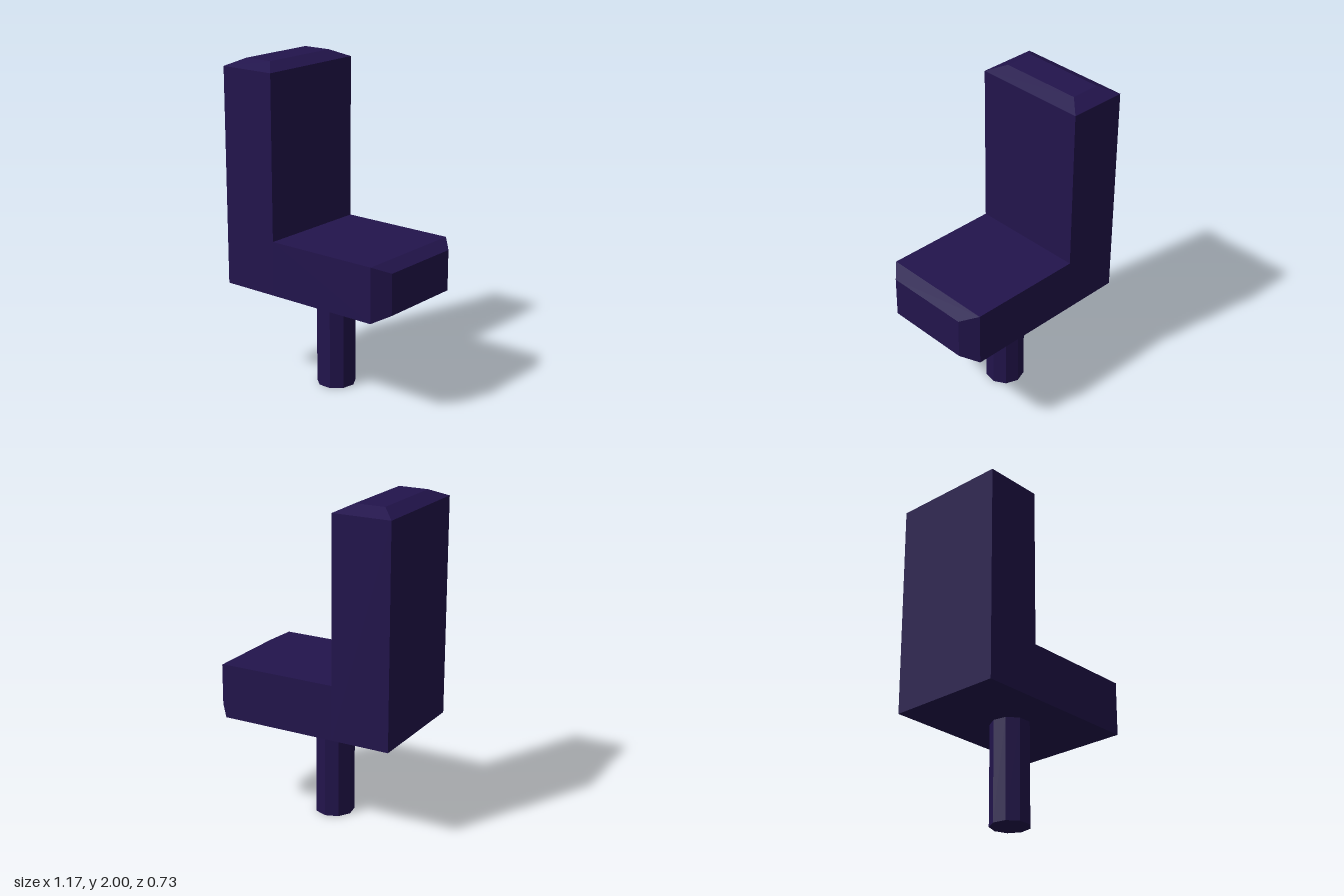
import * as THREE from 'three';

const material = new THREE.MeshStandardMaterial({ color: 0x22144c, flatShading: true });

// Block along +y with a chamfered top: w x d footprint, straight to h, then inset to h + bevel
function chamferedBlock(w, h, d, bevel, insetW, insetD) {
  const geo = new THREE.BoxGeometry(w, 2, d, 1, 2, 1);
  const p = geo.attributes.position;
  for (let i = 0; i < p.count; i++) {
    const y = p.getY(i);
    if (y > 0.5) {
      p.setXYZ(i, p.getX(i) * (1 - 2 * insetW / w), h + bevel, p.getZ(i) * (1 - 2 * insetD / d));
    } else {
      p.setY(i, y < -0.5 ? 0 : h);
    }
  }
  geo.computeVertexNormals();
  return geo;
}

export function createModel() {
  const group = new THREE.Group();
  const add = (name, geo, x, y, z) => {
    const mesh = new THREE.Mesh(geo, material);
    mesh.name = name;
    mesh.position.set(x, y, z);
    group.add(mesh);
    return mesh;
  };

  // Upright back with chamfered top
  add('backrest', chamferedBlock(0.365, 1.335, 0.725, 0.045, 0.09, 0.1), -0.4055, 0.62, 0);

  // Seat slab: the same block laid on its side, chamfer toward +x
  const seat = add('seat', chamferedBlock(0.335, 0.728, 0.725, 0.082, 0.042, 0.09), -0.223, 0.7875, 0);
  seat.rotation.z = -Math.PI / 2;

  // Nine-sided post, one corner pointing to the rear
  const post = new THREE.CylinderGeometry(0.12, 0.12, 0.62, 9, 1, false, Math.PI);
  add('post', post, -0.04, 0.31, 0);

  return group;
}
